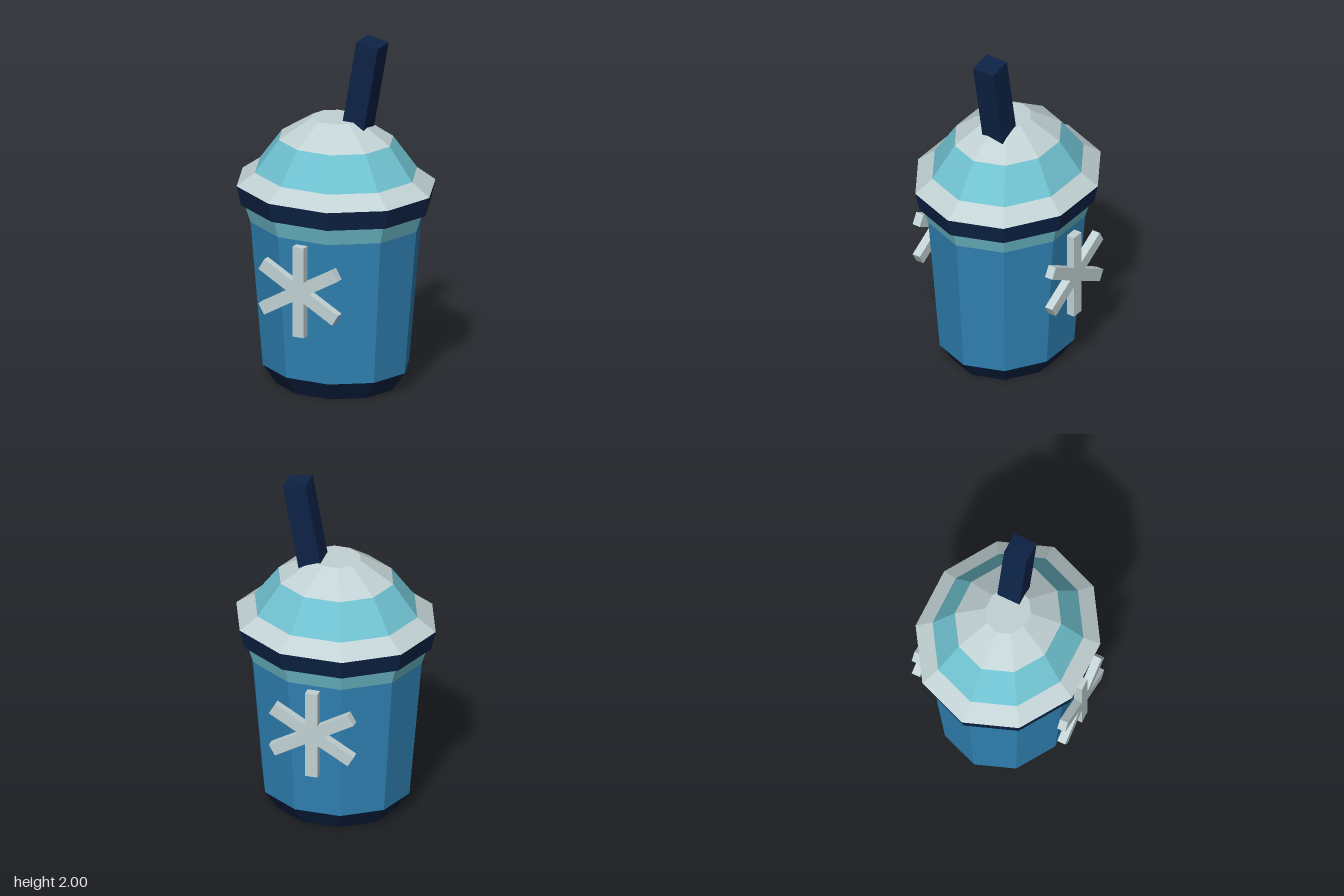
import * as THREE from 'three';

const mat = (name, color) => {
  const m = new THREE.MeshStandardMaterial({ color });
  m.name = name;
  return m;
};

export function createModel() {
  const navy = mat('navy', 0x0d2346);
  const blue = mat('blue', 0x3083b5);
  const teal = mat('teal', 0x71c3d2);
  const pale = mat('pale grey', 0xc2d2d4);
  const model = new THREE.Group();
  model.name = 'cup';

  // Faceted ten-sided ring, squashed in depth; profile is [radius, height] from bottom to top
  const ring = (name, material, profile) => {
    const points = profile.map(([r, y]) => new THREE.Vector2(r, y));
    const geo = new THREE.LatheGeometry(points, 10, Math.PI / 2).toNonIndexed();
    geo.scale(1, 1, 0.88);
    geo.computeVertexNormals();
    const mesh = new THREE.Mesh(geo, material);
    mesh.name = name;
    model.add(mesh);
  };

  // Cup
  ring('base', navy, [[0, 0], [0.34, 0], [0.42, 0.11]]);
  ring('body', blue, [[0.42, 0.11], [0.49, 0.94]]);
  ring('collar', teal, [[0.49, 0.94], [0.523, 1.04]]);

  // Lid
  ring('rim', navy, [[0.523, 1.04], [0.545, 1.04], [0.57, 1.15]]);
  ring('lidEdge', pale, [[0.57, 1.15], [0.465, 1.225]]);
  ring('lidBand', teal, [[0.465, 1.225], [0.328, 1.41]]);
  ring('lidTop', pale, [[0.328, 1.41], [0.14, 1.53], [0, 1.53]]);

  // Square straw leaning to the left, its foot hidden in the lid
  const strawGeo = new THREE.BoxGeometry(0.132, 0.6, 0.135);
  strawGeo.translate(0, -0.3, 0);
  const straw = new THREE.Mesh(strawGeo, navy);
  straw.name = 'straw';
  straw.position.set(0.21, 1.989, -0.028);
  straw.rotation.z = -0.178;
  model.add(straw);

  // Snowflakes on front and back, three crossed bars each
  for (const side of [1, -1]) {
    const flake = new THREE.Group();
    flake.name = side > 0 ? 'frontSnowflake' : 'backSnowflake';
    flake.position.set(0, 0.66, side * 0.444);
    for (let i = 0; i < 3; i++) {
      const bar = new THREE.Mesh(new THREE.BoxGeometry(0.07, 0.52, 0.048), pale);
      bar.name = 'snowflakeBar';
      bar.rotation.z = i * Math.PI / 3;
      flake.add(bar);
    }
    model.add(flake);
  }
  return model;
}
